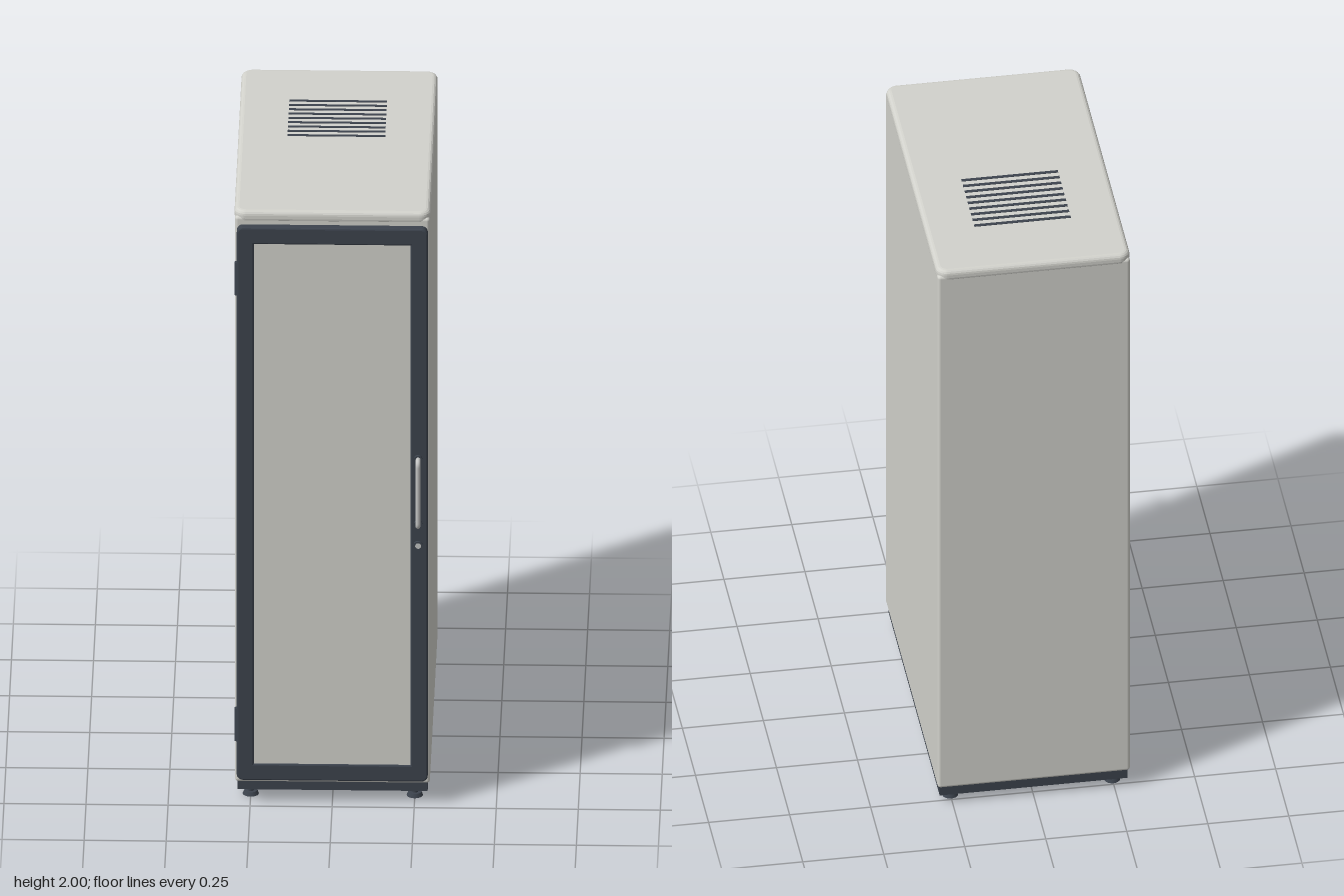
import * as THREE from 'three';
import { RoundedBoxGeometry } from 'three/addons/geometries/RoundedBoxGeometry.js';

const mat = (name, color) => {
  const m = new THREE.MeshStandardMaterial({ color });
  m.name = name;
  return m;
};

export function createModel() {
  const group = new THREE.Group();
  const shell = mat('warm light grey', 0xd2d2cc);
  const dark = mat('dark slate', 0x3c434d);
  const metal = mat('brushed metal', 0xc4c5c4);

  const add = (name, geometry, material, x = 0, y = 0, z = 0) => {
    const mesh = new THREE.Mesh(geometry, material);
    mesh.name = name;
    mesh.position.set(x, y, z);
    group.add(mesh);
    return mesh;
  };

  // Rounded rectangle outline in the front plane
  const outline = (Type, w, h, r) => {
    const p = new Type(), x = w / 2, y = h / 2;
    p.moveTo(-x + r, -y);
    p.lineTo(x - r, -y);
    p.absarc(x - r, -y + r, r, -Math.PI / 2, 0);
    p.lineTo(x, y - r);
    p.absarc(x - r, y - r, r, 0, Math.PI / 2);
    p.lineTo(-x + r, y);
    p.absarc(-x + r, y - r, r, Math.PI / 2, Math.PI);
    p.lineTo(-x, -y + r);
    p.absarc(-x + r, -y + r, r, Math.PI, Math.PI * 1.5);
    return p;
  };

  // Cabinet shell with a softened lid
  add('cabinetBody', new RoundedBoxGeometry(0.594, 1.915, 0.995, 3, 0.01), shell, 0, 1.0225, -0.031);
  const lid = new THREE.ExtrudeGeometry(outline(THREE.Shape, 0.568, 0.968, 0.02), {
    depth: 0.01, bevelThickness: 0.015, bevelSize: 0.015, bevelSegments: 4, curveSegments: 6,
  });
  lid.rotateX(-Math.PI / 2);
  add('lid', lid, shell, 0, 1.974, -0.031);

  // Roof ventilation slots
  for (let i = 0; i < 9; i++) {
    add('roofVent', new THREE.BoxGeometry(0.298, 0.004, 0.012), dark, 0, 1.998, -0.305 + i * 0.03);
  }

  // Plinth and levelling feet
  add('plinth', new THREE.BoxGeometry(0.58, 0.04, 0.97), dark, 0, 0.053, -0.034);
  for (const x of [-0.25, 0.25]) {
    for (const z of [0.41, -0.47]) {
      add('footPad', new THREE.CylinderGeometry(0.02, 0.025, 0.012, 20), dark, x, 0.006, z);
      add('footStem', new THREE.CylinderGeometry(0.01, 0.01, 0.034, 12), dark, x, 0.025, z);
    }
  }

  // Door frame with an opening
  const frame = outline(THREE.Shape, 0.572, 1.862, 0.014);
  frame.holes.push(outline(THREE.Path, 0.488, 1.77, 0.002));
  add('doorFrame', new THREE.ExtrudeGeometry(frame, {
    depth: 0.02, bevelThickness: 0.005, bevelSize: 0.005, bevelSegments: 2, curveSegments: 5,
  }), dark, 0, 1.02, 0.47);
  add('doorPanel', new THREE.BoxGeometry(0.486, 1.768, 0.02), shell, 0, 1.02, 0.48);

  // Hinges on the door edge
  for (const y of [0.265, 1.775]) {
    add('hinge', new THREE.CylinderGeometry(0.008, 0.008, 0.11, 14), dark, -0.291, y, 0.474);
  }

  // Pull handle with mounting collars
  const path = new THREE.CurvePath();
  const v = (y, z) => new THREE.Vector3(0.262, y, z);
  path.add(new THREE.LineCurve3(v(0.96, 0.492), v(0.96, 0.51)));
  path.add(new THREE.QuadraticBezierCurve3(v(0.96, 0.51), v(0.96, 0.525), v(0.975, 0.525)));
  path.add(new THREE.LineCurve3(v(0.975, 0.525), v(1.165, 0.525)));
  path.add(new THREE.QuadraticBezierCurve3(v(1.165, 0.525), v(1.18, 0.525), v(1.18, 0.51)));
  path.add(new THREE.LineCurve3(v(1.18, 0.51), v(1.18, 0.492)));
  add('handle', new THREE.TubeGeometry(path, 80, 0.0075, 12), metal);
  for (const y of [0.96, 1.18]) {
    add('handleCollar', new THREE.CylinderGeometry(0.013, 0.013, 0.01, 18).rotateX(Math.PI / 2), dark, 0.262, y, 0.497);
  }

  // Door lock
  add('lockBezel', new THREE.CylinderGeometry(0.014, 0.014, 0.01, 18).rotateX(Math.PI / 2), dark, 0.262, 0.888, 0.497);
  add('lockBarrel', new THREE.CylinderGeometry(0.009, 0.009, 0.01, 18).rotateX(Math.PI / 2), metal, 0.262, 0.888, 0.499);

  return group;
}
